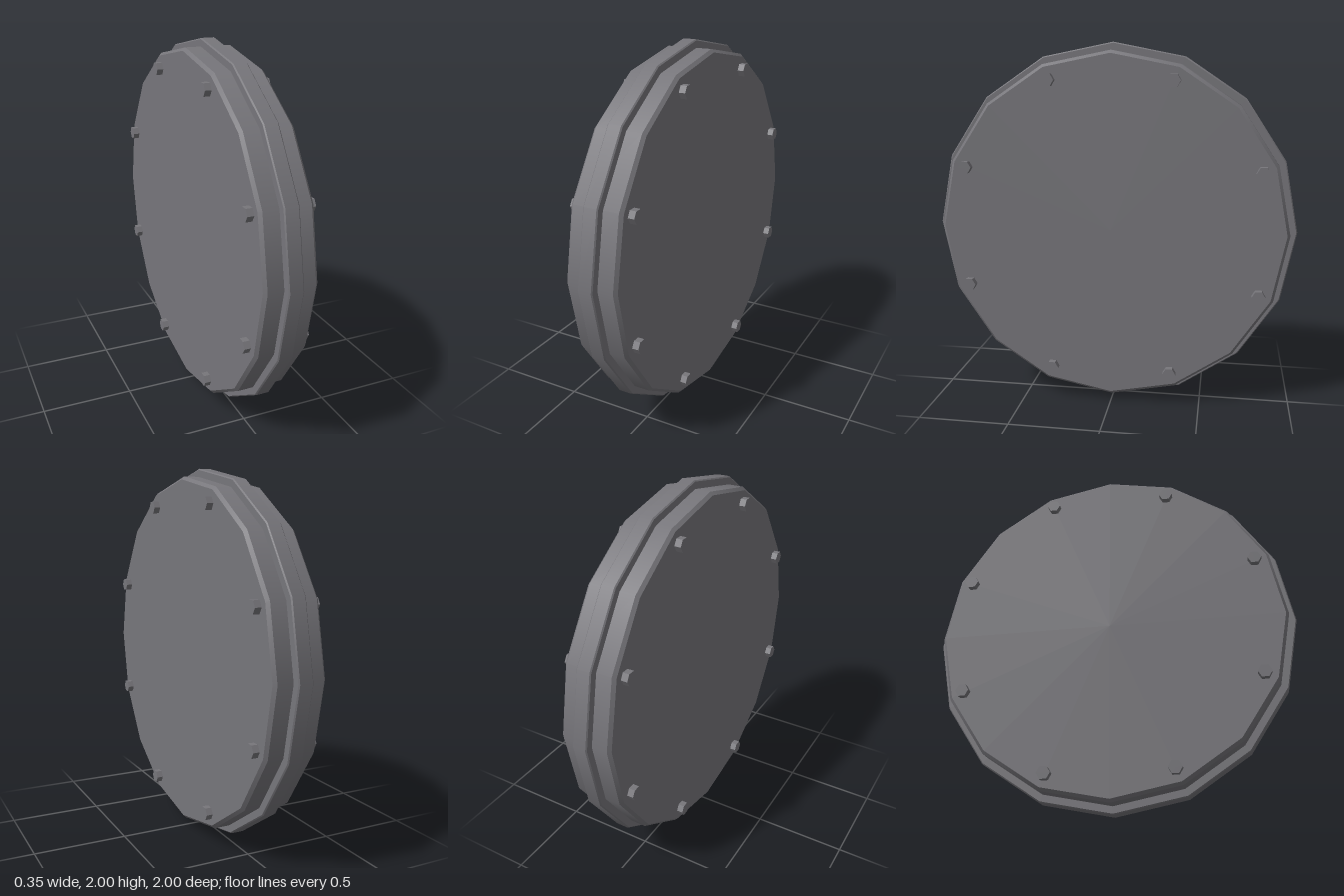
import * as THREE from 'three';
import { mergeGeometries } from 'three/addons/utils/BufferGeometryUtils.js';

const SIDES = 16;

// Sixteen-sided turning about the x axis: smooth around, sharp along the profile
function turned(profile) {
  const bands = [];
  for (let i = 0; i < profile.length - 1; i++) {
    const ends = [profile[i], profile[i + 1]].map(([r, h]) => new THREE.Vector2(r, h));
    bands.push(new THREE.LatheGeometry(ends, SIDES));
  }
  return mergeGeometries(bands).rotateZ(-Math.PI / 2);
}

// Closed disc profile with bevelled rims
function disc(radius, half, bevel) {
  return turned([
    [0, -half], [radius - bevel, -half], [radius, -half + bevel],
    [radius, half - bevel], [radius - bevel, half], [0, half],
  ]);
}

export function createModel() {
  const model = new THREE.Group();
  model.name = 'boltedDisc';
  const metal = new THREE.MeshStandardMaterial({ color: 0x77767b });
  metal.name = 'grey metal';

  const add = (geometry, name, parent = model) => {
    const mesh = new THREE.Mesh(geometry, metal);
    mesh.name = name;
    parent.add(mesh);
    return mesh;
  };

  // Thick body and the narrow flange around its middle
  add(disc(0.957, 0.14, 0.016), 'body').position.y = 1;
  add(disc(1, 0.04, 0.006), 'flange').position.y = 1;

  // Hexagonal bolt heads with a corner pointing up, eight on each face
  const hex = new THREE.CylinderGeometry(0.037, 0.037, 0.045, 6)
    .rotateZ(Math.PI / 2).toNonIndexed();
  hex.computeVertexNormals();
  for (const side of [1, -1]) {
    const ring = new THREE.Group();
    ring.name = side > 0 ? 'leftBolts' : 'rightBolts';
    model.add(ring);
    for (let i = 0; i < 8; i++) {
      const a = (i + 0.5) * Math.PI / 4;
      add(hex, 'bolt', ring).position.set(
        side * 0.152, 1 + 0.87 * Math.sin(a), 0.87 * Math.cos(a));
    }
  }
  return model;
}
